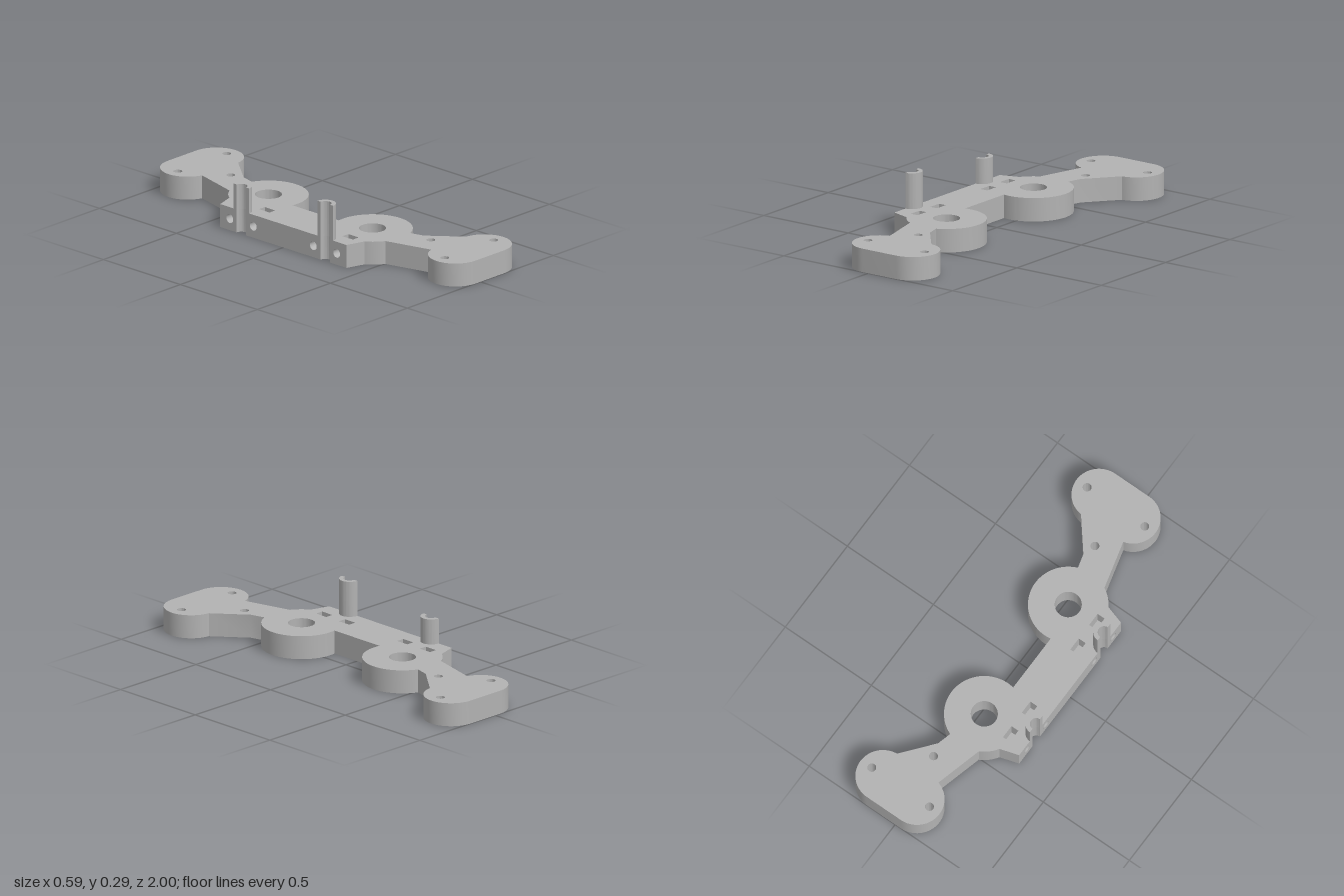
import * as THREE from 'three';
import { toCreasedNormals } from 'three/addons/utils/BufferGeometryUtils.js';

const H = 0.115;          // plate thickness
const EDGE = -0.295;      // flat mounting edge
const CLIP_Z = 0.273;     // notch and clip position
const NOTCH_R = 0.03;
const SLOT_X = -0.2, SLOT_W = 0.04, SLOT_L = 0.068, SLOT_FLOOR = 0.03;
const SLOT_Z = [-0.347, -0.195, 0.195, 0.347];
const SCREW_R = 0.022, SCREW_Y = 0.0575;

const V = (x, y) => new THREE.Vector2(x, y);

function arc(cx, cy, r, from, to, n = 32) {
  return Array.from({ length: n + 1 }, (_, i) => {
    const a = THREE.MathUtils.degToRad(from + (to - from) * i / n);
    return V(cx + r * Math.cos(a), cy + r * Math.sin(a));
  });
}

// Extrude a plan shape upwards
function extrudeUp(shape, height, y = 0) {
  const g = new THREE.ExtrudeGeometry(shape, { depth: height, bevelEnabled: false, curveSegments: 24 });
  g.rotateX(-Math.PI / 2).translate(0, y, 0);
  g.clearGroups();
  return toCreasedNormals(g, Math.PI / 6);
}

// Drop the side faces on the mounting edge, so a drilled panel can replace them
function openEdge(geometry) {
  const out = new THREE.BufferGeometry();
  const p = geometry.attributes.position, n = geometry.attributes.normal;
  const pos = [], nor = [];
  for (let i = 0; i < p.count; i += 3) {
    if ([0, 1, 2].every(k => Math.abs(p.getX(i + k) - EDGE) < 1e-5)) continue;
    for (let k = i; k < i + 3; k++) {
      pos.push(p.getX(k), p.getY(k), p.getZ(k));
      nor.push(n.getX(k), n.getY(k), n.getZ(k));
    }
  }
  out.setAttribute('position', new THREE.Float32BufferAttribute(pos, 3));
  out.setAttribute('normal', new THREE.Float32BufferAttribute(nor, 3));
  return out;
}

export function createModel() {
  const group = new THREE.Group();
  const grey = new THREE.MeshStandardMaterial({ color: 0xb2b2b2, side: THREE.DoubleSide });
  grey.name = 'grey plastic';
  const add = (name, geometry) => {
    const mesh = new THREE.Mesh(geometry, grey);
    mesh.name = name;
    group.add(mesh);
    return mesh;
  };

  // Bracket plate: one half of the outline, mirrored
  const half = [
    ...arc(-0.04, 0.338, 0.19, -100, 68, 48),
    V(0.05, 0.585),
    ...arc(0.165, 0.87, 0.13, -85, 90),
    ...arc(-0.033, 0.87, 0.13, 90, 255),
    ...arc(-0.04, 0.338, 0.19, 118, 148, 10),
    V(EDGE, 0.41),
    ...arc(EDGE, CLIP_Z, NOTCH_R, 90, -90, 16),
  ];
  const plate = new THREE.Shape([...half, ...half.map(p => V(p.x, -p.y)).reverse()]);
  const hole = (x, y, r) => plate.holes.push(new THREE.Path().absarc(x, y, r, 0, Math.PI * 2, true));
  for (const s of [-1, 1]) {
    hole(-0.04, s * 0.338, 0.064);
    hole(-0.103, s * 0.867, 0.021);
    hole(0.232, s * 0.867, 0.021);
    hole(0.03, s * 0.65, 0.021);
  }
  for (const z of SLOT_Z) {
    const a = SLOT_W / 2, b = SLOT_L / 2;
    plate.holes.push(new THREE.Path([
      V(SLOT_X - a, z - b), V(SLOT_X - a, z + b), V(SLOT_X + a, z + b), V(SLOT_X + a, z - b),
    ]));
  }
  add('bracketPlate', openEdge(extrudeUp(plate, H)));

  // Drilled panels along the mounting edge
  const inner = CLIP_Z - NOTCH_R, outer = CLIP_Z + NOTCH_R;
  for (const [z0, z1] of [[-0.41, -outer], [-inner, inner], [outer, 0.41]]) {
    const panel = new THREE.Shape([V(z0, 0), V(z1, 0), V(z1, H), V(z0, H)]);
    for (const z of SLOT_Z.filter(z => z > z0 && z < z1)) {
      panel.holes.push(new THREE.Path().absarc(z, SCREW_Y, SCREW_R, 0, Math.PI * 2, true));
    }
    add('edgePanel', new THREE.ShapeGeometry(panel, 24).rotateY(-Math.PI / 2).translate(EDGE, 0, 0));
  }

  // Nut slot floors and the screw bores leading to them
  const boreLength = SLOT_X - SLOT_W / 2 - EDGE;
  for (const z of SLOT_Z) {
    add('slotFloor', new THREE.BoxGeometry(SLOT_W, SLOT_FLOOR, SLOT_L))
      .position.set(SLOT_X, SLOT_FLOOR / 2, z);
    add('screwBore', new THREE.CylinderGeometry(SCREW_R, SCREW_R, boreLength, 24, 1, true).rotateZ(Math.PI / 2))
      .position.set(EDGE + boreLength / 2, SCREW_Y, z);
  }

  // Half-round upright clips, the front one taller
  for (const [name, z, top] of [['frontClip', CLIP_Z, 0.29], ['backClip', -CLIP_Z, 0.24]]) {
    const ring = new THREE.Shape([
      ...arc(EDGE, -z, 0.051, -90, 90, 24),
      ...arc(EDGE, -z, NOTCH_R, 90, -90, 16),
    ]);
    add(name, extrudeUp(ring, top - H, H));
  }
  return group;
}
